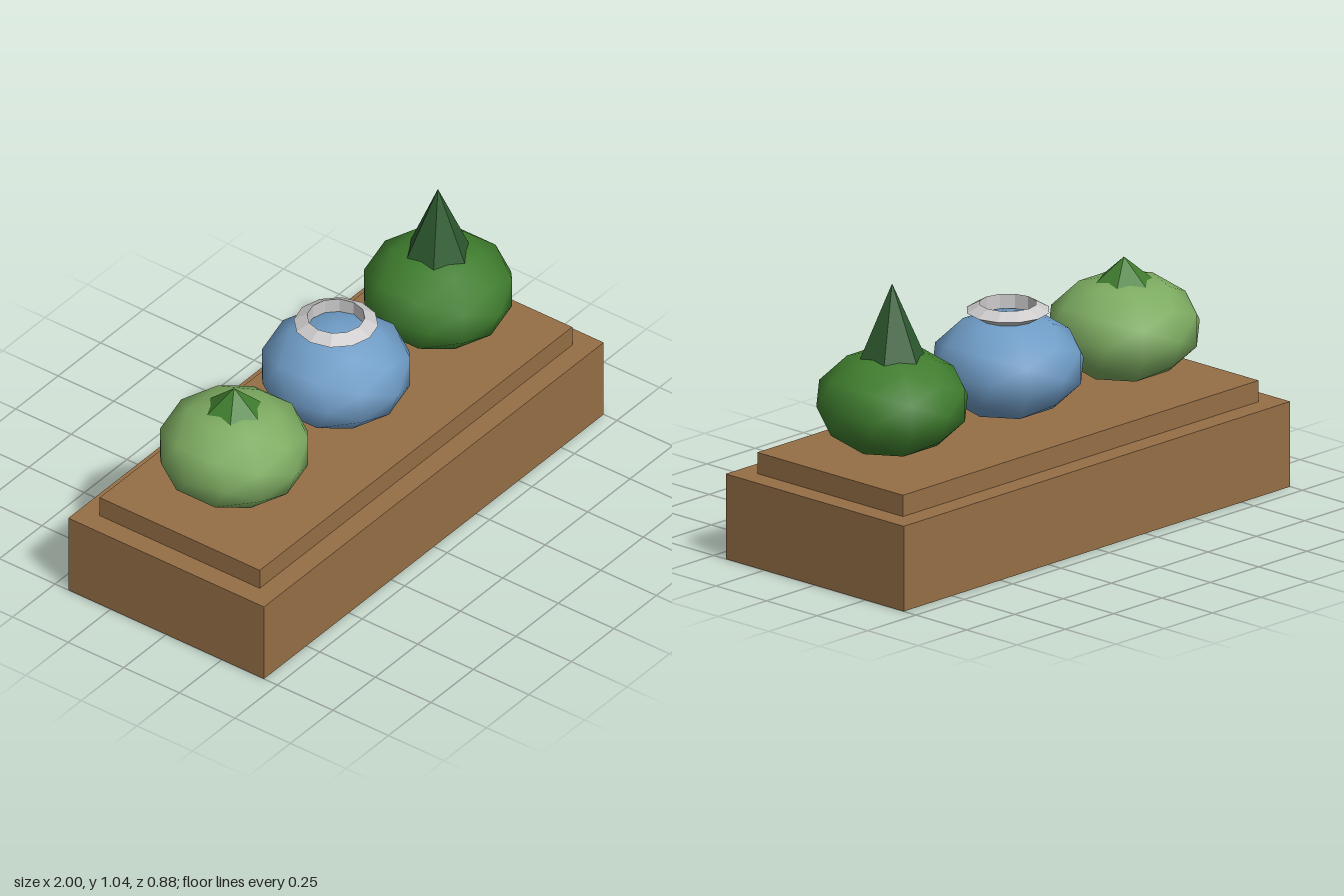
import * as THREE from 'three';

const mat = (name, color, flatShading = false) => {
  const m = new THREE.MeshStandardMaterial({ color, flatShading });
  m.name = name;
  return m;
};

export function createModel() {
  const wood = mat('wood', 0x966f46, true);
  const paleGreen = mat('paleGreen', 0x7dab61);
  const blue = mat('blue', 0x6f9cc6);
  const green = mat('green', 0x3f7d2e);
  const leafGreen = mat('leafGreen', 0x3f7d2e, true);
  const darkGreen = mat('darkGreen', 0x2d5a2f, true);
  const silver = mat('silver', 0xcccaca, true);

  const model = new THREE.Group();
  model.name = 'displayStand';
  const add = (name, geometry, material, x, y) => {
    const mesh = new THREE.Mesh(geometry, material);
    mesh.name = name;
    mesh.position.set(x, y, 0);
    model.add(mesh);
    return mesh;
  };

  // Stepped wooden plinth
  add('plinthBase', new THREE.BoxGeometry(2, 0.32, 0.88), wood, 0, 0.16);
  add('plinthStep', new THREE.BoxGeometry(1.84, 0.08, 0.72), wood, 0, 0.36);

  // Three squashed round bodies
  const bodies = [['leftmostBody', paleGreen, -0.6], ['middleBody', blue, 0], ['rightmostBody', green, 0.6]];
  for (const [name, material, x] of bodies) {
    add(name, new THREE.IcosahedronGeometry(0.28, 1), material, x, 0.6).scale.y = 0.7;
  }

  // Toppers: a low cone, a three-sided ring and a tall spike
  add('lowCone', new THREE.ConeGeometry(0.14, 0.12, 6), leafGreen, -0.6, 0.8);
  add('ring', new THREE.TorusGeometry(0.12, 0.032, 3, 12), silver, 0, 0.8).rotation.x = Math.PI / 2;
  add('tallSpike', new THREE.ConeGeometry(0.14, 0.32, 6), darkGreen, 0.6, 0.88);

  return model;
}
